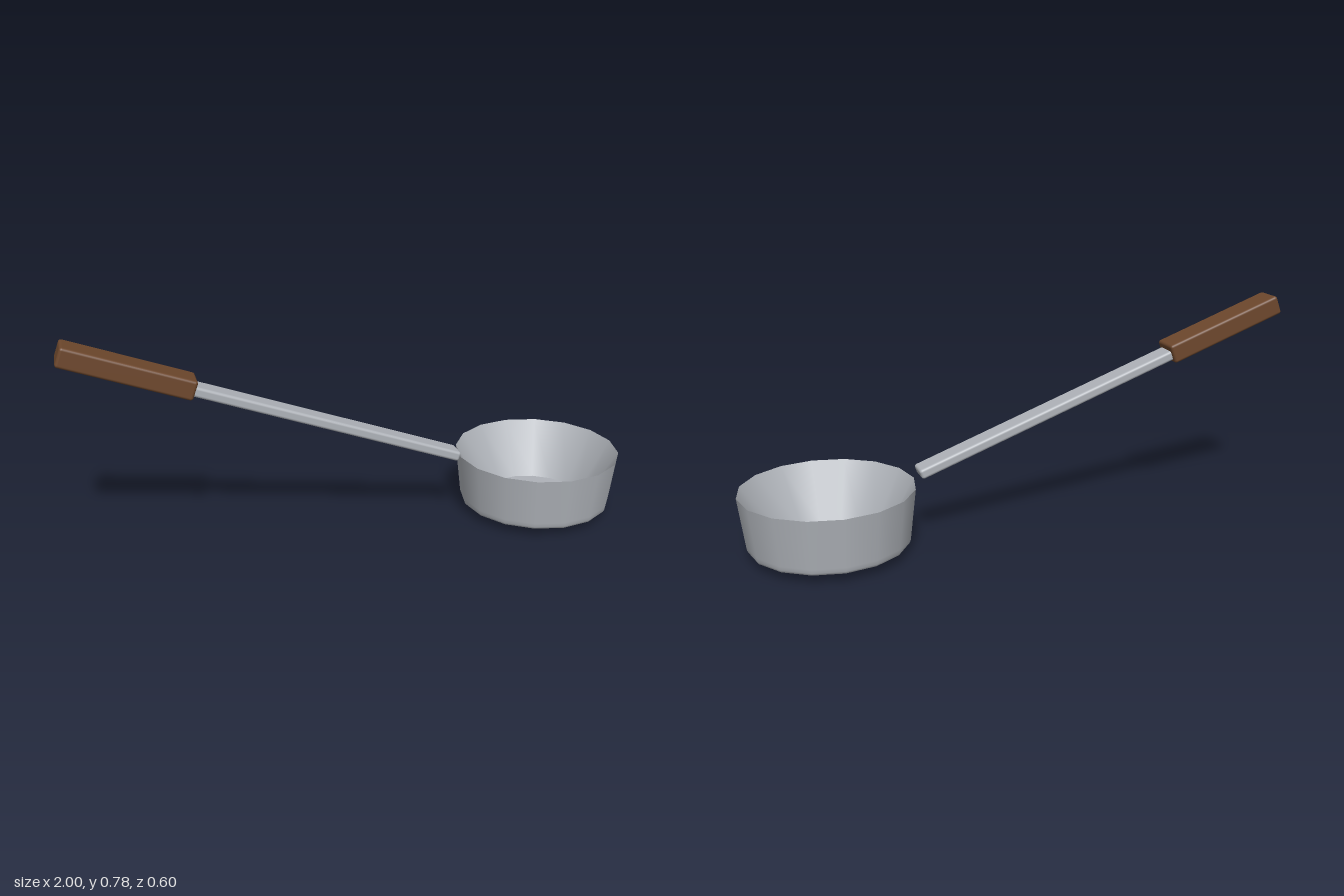
import * as THREE from 'three';
import { RoundedBoxGeometry } from 'three/addons/geometries/RoundedBoxGeometry.js';

const SIDES = 16;
const TILT = THREE.MathUtils.degToRad(-20);
const BOWL_X = 0.7;

export function createModel() {
  const model = new THREE.Group();
  model.name = 'ladle';

  const steel = new THREE.MeshStandardMaterial({ color: 0xaeb2b8 });
  steel.name = 'steel';
  const wood = new THREE.MeshStandardMaterial({ color: 0x6d472c });
  wood.name = 'wood';

  const add = (parent, name, geometry, material) => {
    const mesh = new THREE.Mesh(geometry, material);
    mesh.name = name;
    parent.add(mesh);
    return mesh;
  };
  const lathe = (profile) =>
    new THREE.LatheGeometry(profile.map(([r, y]) => new THREE.Vector2(r, y)), SIDES);

  // Bowl: outer shell, funnel-shaped inside, flat floor and a small foot
  const bowl = new THREE.Group();
  bowl.name = 'bowl';
  bowl.position.x = BOWL_X;
  model.add(bowl);

  add(bowl, 'bowlOuterWall', lathe([
    [0, 0.03], [0.26, 0.03], [0.266, 0.03], [0.273, 0.033], [0.277, 0.041], [0.279, 0.055], [0.3, 0.228],
  ]), steel);
  add(bowl, 'bowlInnerWall', lathe([[0.3, 0.228], [0.185, 0.032]]), steel);

  const floor = add(bowl, 'bowlFloor', new THREE.CircleGeometry(0.186, SIDES), steel);
  floor.rotation.x = -Math.PI / 2;
  floor.position.y = 0.032;

  add(bowl, 'foot', lathe([
    [0, 0], [0.153, 0], [0.16, 0.001], [0.168, 0.005], [0.174, 0.013], [0.183, 0.03],
  ]), steel);

  // Tilted bars: the flat steel shaft and the wooden grip
  const bar = (name, size, radius, x, y, material) => {
    const mesh = add(model, name, new RoundedBoxGeometry(...size, 3, radius), material);
    mesh.position.set(x, y, 0);
    mesh.rotation.z = TILT;
  };
  bar('shaft', [1.04, 0.036, 0.08], 0.01, -0.105, 0.423, steel);
  bar('grip', [0.458, 0.07, 0.106], 0.01, -0.773, 0.672, wood);

  return model;
}
